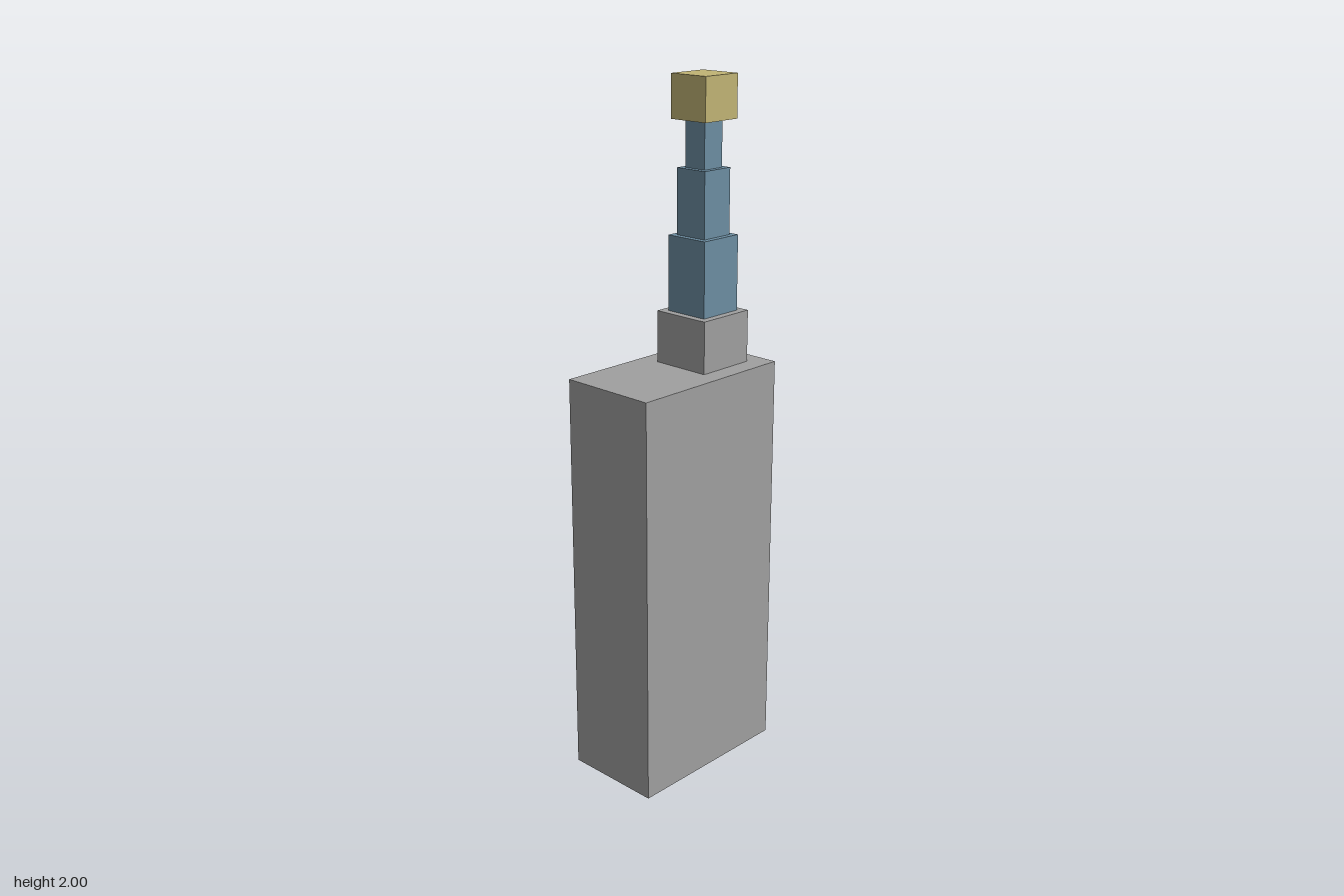
import * as THREE from 'three';

export function createModel() {
  const model = new THREE.Group();
  const mat = (name, color, opts = {}) => {
    const m = new THREE.MeshStandardMaterial({ color, ...opts });
    m.name = name;
    return m;
  };
  const casing = mat('casing grey', 0xa0a0a0);
  const blue = mat('dull blue', 0x6d8ea2);
  const gold = mat('pale gold', 0xc1b475);

  const add = (name, geometry, material, x = 0, y = 0, z = 0) => {
    const mesh = new THREE.Mesh(geometry, material);
    mesh.name = name;
    mesh.position.set(x, y, z);
    model.add(mesh);
    return mesh;
  };

  // Box without its -x face; inward turns the five faces to the inside
  const openBox = (w, h, d, inward = false) => {
    const g = new THREE.BoxGeometry(w, h, d);
    const index = Array.from(g.index.array);
    index.splice(6, 6);
    if (inward) index.reverse();
    g.setIndex(index);
    g.clearGroups();
    g.computeVertexNormals();
    return g;
  };

  // Casing: x from -0.132 to 0.164, with a screen opening on the -x side
  const side = -0.132, width = 0.296, height = 1.2, depth = 0.52;
  add('body', openBox(width, height, depth), casing, side + width / 2, height / 2, 0);

  const rect = (T, x0, y0, x1, y1) =>
    new T([[x0, y0], [x1, y0], [x1, y1], [x0, y1]].map(p => new THREE.Vector2(...p)));
  const scr = { z: 0.2, y0: 0.915, y1: 1.14, depth: 0.02 };
  const panel = rect(THREE.Shape, -depth / 2, 0, depth / 2, height);
  panel.holes.push(rect(THREE.Path, -scr.z, scr.y0, scr.z, scr.y1));
  add('controlPanel', new THREE.ShapeGeometry(panel).rotateY(-Math.PI / 2), casing, side, 0, 0);

  // Recessed screen
  add('screen', openBox(scr.depth, scr.y1 - scr.y0, scr.z * 2, true), gold,
    side + scr.depth / 2, (scr.y0 + scr.y1) / 2, 0);

  // Domed button
  const dome = new THREE.SphereGeometry(1, 10, 3, Math.PI / 2, Math.PI * 2, 0, Math.PI / 2);
  dome.rotateZ(Math.PI / 2).scale(0.032, 0.13, 0.13);
  add('button', dome, blue, side, 0.71, 0);

  // Telescopic antenna: collar, three sections and tip
  const stages = [
    ['antennaCollar', 0.18, 1.2, 1.35, casing],
    ['antennaLower', 0.136, 1.35, 1.565, blue],
    ['antennaMiddle', 0.102, 1.565, 1.75, blue],
    ['antennaUpper', 0.07, 1.75, 1.88, blue],
    ['antennaTip', 0.126, 1.88, 2.0, gold],
  ];
  for (const [name, w, y0, y1, material] of stages) {
    add(name, new THREE.BoxGeometry(w, y1 - y0, w), material, 0.016, (y0 + y1) / 2, -0.116);
  }

  return model;
}
